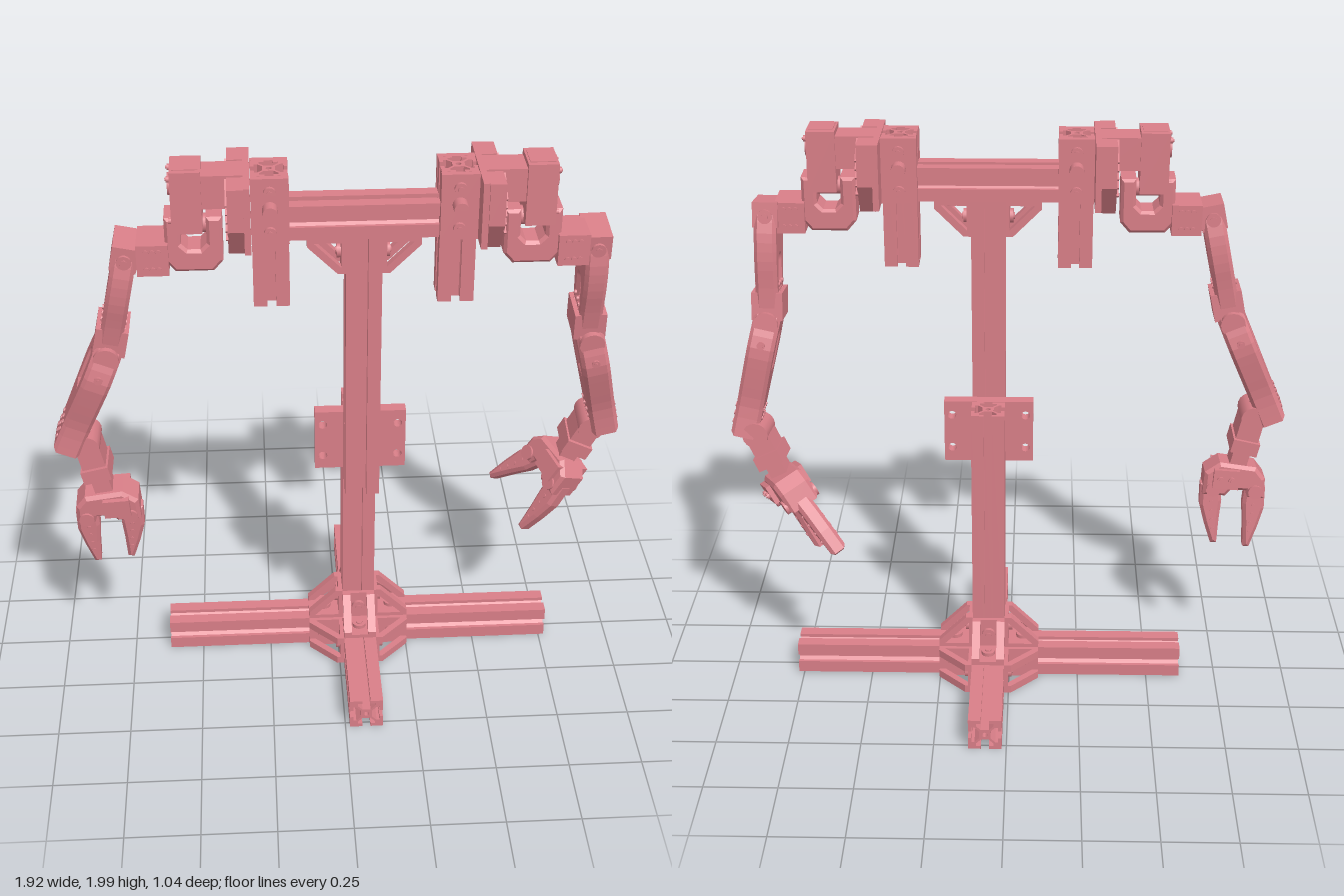
import * as THREE from 'three';

const V = (x, y, z) => new THREE.Vector3(x, y, z);
const mat = new THREE.MeshStandardMaterial({ color: 0xd97f88, side: THREE.DoubleSide });
const CX = 0.073, ZU = 0.16, H = 0.0575; // mast centre x, upper frame z, half rail size

function add(parent, name, geo, x = 0, y = 0, z = 0) {
  const m = new THREE.Mesh(geo, mat);
  m.name = name;
  m.position.set(x, y, z);
  parent.add(m);
  return m;
}
const box = (p, name, w, h, d, x, y, z) => add(p, name, new THREE.BoxGeometry(w, h, d), x, y, z);

// Cylinder whose axis follows dir
function rod(p, name, r, len, pos, dir, sides = 16) {
  const m = add(p, name, new THREE.CylinderGeometry(r, r, len, sides), pos.x, pos.y, pos.z);
  m.quaternion.setFromUnitVectors(V(0, 1, 0), dir.clone().normalize());
  return m;
}
function bolt(p, pos, dir, r = 0.02) {
  rod(p, 'boltHead', r, 0.014, pos, dir);
  rod(p, 'boltSocket', r * 0.5, 0.022, pos, dir, 6);
}
const poly = pts => new THREE.Shape(pts.map(([x, y]) => new THREE.Vector2(x, y)));
const hole = (s, pts) => s.holes.push(new THREE.Path(pts.map(([x, y]) => new THREE.Vector2(x, y))));
function roundHole(s, x, y, r) {
  s.holes.push(new THREE.Path().absarc(x, y, r, 0, Math.PI * 2, true));
}
function slab(shape, depth, bevel = 0) {
  const g = new THREE.ExtrudeGeometry(shape, {
    depth: depth - 2 * bevel, curveSegments: 10, bevelEnabled: bevel > 0,
    bevelSize: bevel, bevelThickness: bevel, bevelOffset: -bevel, bevelSegments: 1,
  });
  return g.translate(0, 0, -depth / 2 + bevel);
}
// Group at a, y axis towards b, z axis near zHint
function frame(p, name, a, b, zHint) {
  const g = new THREE.Group();
  g.name = name;
  const y = b.clone().sub(a).normalize();
  const x = y.clone().cross(zHint).normalize();
  g.quaternion.setFromRotationMatrix(new THREE.Matrix4().makeBasis(x, y, x.clone().cross(y)));
  g.position.copy(a);
  p.add(g);
  return g;
}

// Slotted square rail between two points
function rail(p, name, a, b) {
  const side = [[H, -H], [H, -0.014], [H - 0.012, -0.014], [H - 0.012, -0.03], [H - 0.022, -0.03],
    [H - 0.038, -0.014], [H - 0.038, 0.014], [H - 0.022, 0.03], [H - 0.012, 0.03], [H - 0.012, 0.014], [H, 0.014]];
  const pts = [];
  for (let i = 0; i < 4; i++) {
    const c = [1, 0, -1, 0][i], s = [0, 1, 0, -1][i];
    side.forEach(([x, y]) => pts.push([x * c - y * s, x * s + y * c]));
  }
  const shape = poly(pts);
  roundHole(shape, 0, 0, 0.009);
  const len = a.distanceTo(b);
  const g = frame(p, name, a, b, Math.abs(b.z - a.z) > 0.1 ? V(0, 1, 0) : V(0, 0, 1));
  add(g, name + 'Profile', slab(shape, len).rotateX(Math.PI / 2), 0, len / 2, 0);
}

// Corner bracket in the inner corner at pos, legs along u and v
function bracket(p, pos, u, v) {
  const g = new THREE.Group();
  g.name = 'cornerBracket';
  const w = u.clone().cross(v);
  g.quaternion.setFromRotationMatrix(new THREE.Matrix4().makeBasis(u, v, w));
  g.position.copy(pos);
  p.add(g);
  const L = 0.122, t = 0.014;
  for (const s of [-1, 1]) {
    const cheek = poly([[0, 0], [L, 0], [L, 0.025], [0.025, L], [0, L]]);
    hole(cheek, [[t, t], [t, 0.1], [0.1, t]]);
    add(g, 'bracketCheek', slab(cheek, 0.028), 0, 0, s * 0.0435);
  }
  box(g, 'bracketLeg', L, t, 2 * H, L / 2, t / 2, 0);
  box(g, 'bracketLeg', t, L, 2 * H, t / 2, L / 2, 0);
  bolt(g, V(0.065, 0.02, 0), V(0, 1, 0), 0.024);
  bolt(g, V(0.02, 0.065, 0), V(1, 0, 0), 0.024);
}

// Arm link: waisted plate with an arched window and screw dots
function link(p, name, a, b, thick, widths, win) {
  const L = a.distanceTo(b), g = frame(p, name, a, b, V(0, 0, 1));
  const n = widths.length - 1;
  const right = new THREE.SplineCurve(widths.map((w, i) => new THREE.Vector2(w, L * i / n))).getPoints(12);
  const shape = poly([...right.map(q => [q.x, q.y]), ...right.reverse().map(q => [-q.x, q.y])]);
  const h = new THREE.Path();
  h.moveTo(-0.025, win[1] * L);
  h.lineTo(-0.025, win[0] * L);
  h.absarc(0, win[0] * L, 0.025, Math.PI, 2 * Math.PI, false);
  h.lineTo(0.025, win[1] * L);
  shape.holes.push(h);
  add(g, name + 'Shell', slab(shape, thick, 0.012).rotateY(-Math.PI / 2));
  for (const s of [-1, 1]) for (let i = 0; i < 3; i++) for (let j = 0; j < 3; j++)
    rod(g, 'screw', 0.008, 0.008, V(s * thick / 2, L * 0.97 - 0.03 - j * 0.03, (i - 1) * 0.035), V(1, 0, 0), 8);
  return { g, L };
}

// Tapered claw finger, bulging towards out
function finger(p, root, tip, out) {
  const L = root.distanceTo(tip);
  const g = frame(p, 'finger', root, tip, out.clone().cross(tip.clone().sub(root)));
  add(g, 'fingerClaw', slab(poly([[-0.034, -0.03], [0.038, -0.03], [0.045, 0.25 * L], [0.032, 0.6 * L],
    [0.012, L], [-0.01, L], [-0.022, 0.55 * L], [-0.034, 0.2 * L]]), 0.06, 0.012));
  for (let i = 0; i < 4; i++)
    rod(g, 'fingerRivet', 0.007, 0.066, V(0.004, L * (0.2 + i * 0.17), 0), V(0, 0, 1), 8);
}

// Clamp, side plates, motor and yoke at one end of the crossbar
function shoulder(root, s) {
  const g = new THREE.Group();
  g.name = s > 0 ? 'leftShoulder' : 'rightShoulder';
  root.add(g);
  const X = u => CX + s * u;
  rail(g, 'hangingRail', V(X(0.292), 1.53, ZU), V(X(0.292), 1.98, ZU));
  for (const f of [-1, 1]) {
    box(g, 'clampPlate', 0.118, 0.22, 0.022, X(0.292), 1.87, ZU + f * 0.069);
    for (const y of [1.935, 1.88, 1.8]) bolt(g, V(X(0.292), y, ZU + f * 0.085), V(0, 0, 1));
    rod(g, 'clampKnob', 0.024, 0.05, V(X(0.292), 1.88, ZU + f * 0.1), V(0, 0, 1));
  }
  box(g, 'backPlate', 0.02, 0.22, 0.315, X(0.362), 1.87, 0.153);
  // Paired shields with ridged outer faces
  for (const f of [-1, 1]) {
    const shield = poly([[0.065, 1.98], [0.16, 1.98], [0.16, 1.84], [0.09, 1.735], [0.04, 1.735], [0.065, 1.85]]
      .map(([z, y]) => [f * z, y]));
    add(g, 'shield', slab(shield, 0.05).rotateY(-Math.PI / 2), X(0.397), 0, 0.157);
    for (let i = 0; i < 5; i++) {
      const r = box(g, 'shieldRidge', 0.008, 0.008, 0.095, X(0.424), 1.95 - i * 0.028, 0.157 + f * 0.112);
      r.rotation.x = f * 0.6;
    }
  }
  // Motor
  box(g, 'motorNeck', 0.14, 0.11, 0.11, X(0.44), 1.925, 0.155);
  box(g, 'motorBody', 0.095, 0.205, 0.13, X(0.548), 1.895, 0.157);
  box(g, 'motorCap', 0.08, 0.02, 0.09, X(0.548), 1.99, 0.157);
  rod(g, 'motorHub', 0.035, 0.012, V(X(0.598), 1.935, 0.157), V(1, 0, 0));
  for (const dz of [-0.045, 0.045]) for (const y of [1.97, 1.83])
    bolt(g, V(X(0.598), y, 0.157 + dz), V(1, 0, 0), 0.01);
  rod(g, 'motorShaft', 0.03, 0.17, V(X(0.53), 1.8, 0.155), V(1, 0, 0));
  // U-shaped yoke and the joint leading outwards
  const yoke = poly([[-0.09, 1.84], [-0.09, 1.69], [-0.06, 1.655], [0.06, 1.655], [0.09, 1.69], [0.09, 1.84],
    [0.04, 1.84], [0.04, 1.75], [0.02, 1.73], [-0.02, 1.73], [-0.04, 1.75], [-0.04, 1.84]]);
  add(g, 'yoke', slab(yoke, 0.11, 0.01), X(0.53), 0, 0.155);
  box(g, 'elbowMotor', 0.1, 0.105, 0.145, X(0.66), 1.705, 0.155);
  for (let i = 0; i < 3; i++) for (const f of [-1, 1])
    rod(g, 'screw', 0.009, 0.155, V(X(0.64 + i * 0.02), 1.705 + f * 0.03, 0.155), V(0, 0, 1), 8);
}

// Upper arm, forearm, wrist and gripper through the given joints
function arm(root, name, j) {
  const g = new THREE.Group();
  g.name = name;
  root.add(g);
  const up = link(g, 'upperArm', j.elbow, j.mid, 0.075, [0.06, 0.085, 0.088, 0.075, 0.065], [0.55, 0.75]);
  box(up.g, 'elbowBlock', 0.085, 0.085, 0.14, 0, 0.035, 0);
  box(up.g, 'collar', 0.105, 0.095, 0.135, 0, up.L - 0.03, 0);
  for (const f of [-1, 1]) bolt(up.g, V(0, 0.04, f * 0.072), V(0, 0, 1), 0.024);
  const low = link(g, 'forearm', j.mid, j.wrist, 0.092, [0.075, 0.105, 0.09, 0.07, 0.072], [0.2, 0.42]);
  for (const f of [-1, 1]) {
    rod(low.g, 'jointCap', 0.042, 0.02, V(0, 0.03, f * 0.08), V(0, 0, 1));
    bolt(low.g, V(0, 0.1, f * 0.1), V(0, 0, 1), 0.014);
  }
  // Wrist
  const wl = j.wristA.distanceTo(j.wristB), w = frame(g, 'wrist', j.wristA, j.wristB, V(0, 0, 1));
  box(w, 'wristMotor', 0.08, wl * 0.65, 0.11, 0, wl * 0.3, 0);
  box(w, 'wristCollar', 0.095, 0.05, 0.135, 0, wl * 0.5, 0);
  box(w, 'wristStem', 0.06, wl * 0.6, 0.08, 0, wl * 0.8, 0);
  rod(w, 'wristHub', 0.045, 0.13, V(0, 0.0, 0), V(0, 0, 1));
  // Gripper
  const [r1, r2] = j.roots, spread = r2.clone().sub(r1).normalize();
  const middle = j.tips[0].clone().add(j.tips[1]).multiplyScalar(0.5);
  const normal = spread.clone().cross(middle.sub(j.wristB));
  const axis = normal.clone().cross(spread).normalize();
  const base = r1.clone().add(r2).multiplyScalar(0.5).addScaledVector(axis, -0.08);
  const h = frame(g, 'gripper', base, base.clone().add(axis), normal);
  add(h, 'palm', slab(poly([[-0.07, -0.03], [0.06, -0.04], [0.11, 0.0], [0.11, 0.085], [0.03, 0.085],
    [0.01, 0.06], [-0.04, 0.06], [-0.05, 0.085], [-0.11, 0.085], [-0.105, 0.01]]), 0.115, 0.012));
  box(h, 'gripMotor', 0.09, 0.07, 0.15, 0.035, 0.015, 0);
  for (const f of [-1, 1]) {
    rod(h, 'fingerPivot', 0.026, 0.13, V(f * 0.075, 0.06, 0), V(0, 0, 1));
    bolt(h, V(f * 0.02 + 0.035, 0.015, 0.077), V(0, 0, 1), 0.012);
  }
  finger(g, r1, j.tips[0], spread.clone().negate());
  finger(g, r2, j.tips[1], spread);
}

export function createModel() {
  const root = new THREE.Group();
  root.name = 'twoArmStand';
  const yB = 0.0675;

  // Crossed base
  rail(root, 'sideFootRight', V(-0.62, yB, 0), V(CX - H, yB, 0));
  rail(root, 'sideFootLeft', V(CX + H, yB, 0), V(0.77, yB, 0));
  rail(root, 'baseRail', V(CX, yB, -0.52), V(CX, yB, 0.52));

  // Two overlapping mast rails, joining plate and crossbar
  rail(root, 'lowerMast', V(CX, 0.125, 0), V(CX, 1.05, 0));
  rail(root, 'upperMast', V(CX, 0.79, ZU), V(CX, 1.76, ZU));
  const plate = poly([[-0.155, -0.113], [0.155, -0.113], [0.155, 0.113], [-0.155, 0.113]]);
  for (const sx of [-1, 1]) for (const sy of [-1, 1]) roundHole(plate, sx * 0.128, sy * 0.062, 0.015);
  add(root, 'joiningPlate', slab(plate, 0.042), CX, 0.938, 0.08);
  rail(root, 'crossbar', V(CX - 0.235, 1.817, ZU), V(CX + 0.235, 1.817, ZU));

  // Corner brackets
  const Y = V(0, 1, 0);
  for (const s of [-1, 1]) {
    const X = V(s, 0, 0), Z = V(0, 0, s);
    bracket(root, V(CX + s * H, 0.125, 0), X, Y);
    bracket(root, V(CX, 0.125, s * H), Z, Y);
    bracket(root, V(CX + s * H, 1.76, ZU), X, V(0, -1, 0));
    for (const f of [-1, 1]) bracket(root, V(CX + s * H, yB, f * H), X, V(0, 0, f));
    shoulder(root, s);
  }

  arm(root, 'rightArm', {
    elbow: V(-0.667, 1.745, 0.155), mid: V(-0.745, 1.375, 0.135), wrist: V(-0.918, 0.975, 0.128),
    wristA: V(-0.85, 0.99, 0.125), wristB: V(-0.8, 0.77, 0.125),
    roots: [V(-0.87, 0.68, 0.12), V(-0.72, 0.69, 0.12)], tips: [V(-0.85, 0.475, 0.1), V(-0.735, 0.49, 0.1)],
  });
  arm(root, 'leftArm', {
    elbow: V(0.813, 1.745, 0.145), mid: V(0.82, 1.37, 0.095), wrist: V(0.92, 0.94, 0.035),
    wristA: V(0.875, 0.95, 0.03), wristB: V(0.79, 0.77, 0.01),
    roots: [V(0.72, 0.72, -0.075), V(0.775, 0.68, 0.055)], tips: [V(0.585, 0.58, -0.17), V(0.67, 0.495, 0.035)],
  });
  return root;
}
